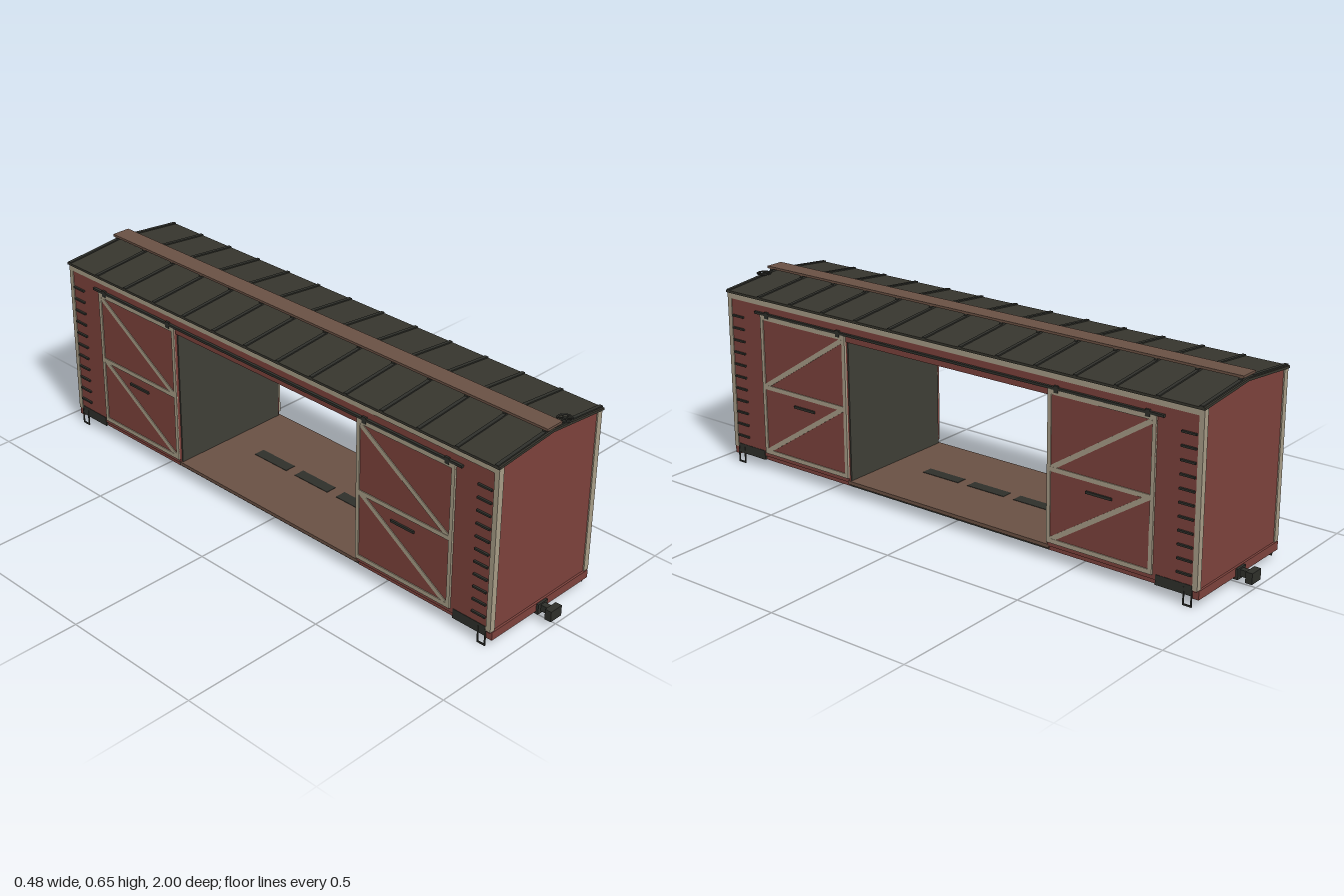
import * as THREE from 'three';

const mat = (name, color, side = THREE.FrontSide) => {
  const m = new THREE.MeshStandardMaterial({ color, side });
  m.name = name;
  return m;
};

export function createModel() {
  const red = mat('barn red', 0x7d423c);
  const roofGrey = mat('roof charcoal', 0x37362e);
  const beige = mat('beige trim', 0xa89d87);
  const brown = mat('plank brown', 0x6a5144);
  const iron = mat('dark iron', 0x2f302b);
  const steel = mat('wheel steel', 0x4a4d50);
  const lining = mat('grey lining', 0x3f3f37);

  const model = new THREE.Group();
  model.name = 'boxcar';

  const add = (name, geometry, material, x = 0, y = 0, z = 0, parent = model) => {
    const mesh = new THREE.Mesh(geometry, material);
    mesh.name = name;
    mesh.position.set(x, y, z);
    parent.add(mesh);
    return mesh;
  };
  // Box given by its limits on each axis
  const box = (name, material, x0, x1, y0, y1, z0, z1, parent = model) =>
    add(name, new THREE.BoxGeometry(Math.abs(x1 - x0), Math.abs(y1 - y0), Math.abs(z1 - z0)), material,
      (x0 + x1) / 2, (y0 + y1) / 2, (z0 + z1) / 2, parent);
  // Round bar between two points
  const bar = (name, material, a, b, r, parent = model) => {
    const p = new THREE.Vector3(...a), q = new THREE.Vector3(...b);
    const d = q.clone().sub(p);
    const mesh = add(name, new THREE.CylinderGeometry(r, r, d.length(), 8), material, 0, 0, 0, parent);
    mesh.position.copy(p).add(q).multiplyScalar(0.5);
    mesh.quaternion.setFromUnitVectors(new THREE.Vector3(0, 1, 0), d.normalize());
    return mesh;
  };
  const extrude = (points, depth) => new THREE.ExtrudeGeometry(
    new THREE.Shape(points.map(p => new THREE.Vector2(...p))), { depth, bevelEnabled: false });

  // Closed body ends on both sides of the doorway
  const gable = [[-0.228, 0.05], [0.228, 0.05], [0.228, 0.608], [0, 0.63], [-0.228, 0.608]];
  add('frontBody', extrude(gable, 0.53), red, 0, 0, 0.405);
  add('backBody', extrude(gable, 0.53), red, 0, 0, -0.935);

  // Roof: bent sheet, ribs and raised walkway
  const chevron = (lift, t) => [[-0.235, 0.607 + lift], [0, 0.63 + lift], [0.235, 0.607 + lift],
    [0.235, 0.607 + lift + t], [0, 0.63 + lift + t], [-0.235, 0.607 + lift + t]];
  add('roof', extrude(chevron(0, 0.008), 1.884), roofGrey, 0, 0, -0.942);
  const rib = extrude(chevron(0.008, 0.004), 0.012);
  for (let i = 0; i < 14; i++) {
    const z = -0.93 + i * (1.86 / 13);
    add('roofRib', rib, iron, 0, 0, z - 0.006);
    box('walkwaySaddle', iron, -0.03, 0.03, 0.636, 0.647, z - 0.006, z + 0.006);
  }
  box('walkway', brown, -0.033, 0.033, 0.646, 0.654, -0.942, 0.945);

  // Floor and sills
  box('doorwayFloor', brown, -0.229, 0.229, 0.043, 0.055, -0.41, 0.41);
  for (const z of [-0.19, 0, 0.19]) box('floorPlate', iron, -0.02, 0.02, 0.0545, 0.0565, z - 0.075, z + 0.075);

  for (const e of [1, -1]) {
    box('bulkhead', lining, -0.222, 0.222, 0.055, 0.607, e * 0.4, e * 0.406);
    box('underFloor', red, -0.222, 0.222, 0.035, 0.052, e * 0.41, e * 0.932);
    box('endSill', red, -0.225, 0.225, 0.027, 0.055, e * 0.92, e * 0.942);

    // Coupler
    box('couplerPocket', iron, -0.022, 0.022, 0.018, 0.053, e * 0.93, e * 0.95);
    box('couplerShank', iron, -0.01, 0.01, 0.026, 0.048, e * 0.93, e * 0.99);
    box('couplerHead', iron, -0.025, 0.025, 0.018, 0.054, e * 0.977, e);

    // Truck with two wheelsets
    const truck = new THREE.Group();
    truck.name = 'truck';
    model.add(truck);
    box('bolster', iron, -0.13, 0.13, 0.018, 0.034, e * 0.692, e * 0.732, truck);
    for (const z of [0.64, 0.785]) {
      bar('axle', iron, [-0.13, 0.04, e * z], [0.13, 0.04, e * z], 0.008, truck);
      for (const s of [1, -1]) {
        const tread = new THREE.CylinderGeometry(0.033, 0.034, 0.036, 28).rotateZ(-Math.PI / 2 * s);
        const flange = new THREE.CylinderGeometry(0.037, 0.037, 0.008, 28).rotateZ(Math.PI / 2);
        add('wheel', tread, steel, s * 0.1, 0.04, e * z, truck);
        add('wheelFlange', flange, steel, s * 0.08, 0.04, e * z, truck);
        box('journalBox', iron, s * 0.118, s * 0.13, 0.012, 0.034, e * (z - 0.015), e * (z + 0.015), truck);
      }
    }
  }

  for (const s of [1, -1]) {
    const side = new THREE.Group();
    side.name = s > 0 ? 'leftSide' : 'rightSide';
    model.add(side);
    const plate = (name, m, x0, x1, y0, y1, z0, z1) => box(name, m, s * x0, s * x1, y0, y1, z0, z1, side);

    // Doorway header, fascia and door track
    plate('doorwayHeader', red, 0.22, 0.228, 0.535, 0.607, -0.41, 0.41);
    plate('fascia', beige, 0.226, 0.2305, 0.588, 0.607, -0.937, 0.937);
    plate('doorTrack', iron, 0.228, 0.237, 0.557, 0.565, -0.81, 0.81);

    for (const e of [1, -1]) {
      // Corner boards
      plate('cornerBoard', beige, 0.21, 0.2305, 0.055, 0.607, e * 0.922, e * 0.939);

      // Open sliding door with frame and braces
      const z0 = e > 0 ? 0.405 : -0.785, z1 = z0 + 0.38;
      plate('door', red, 0.226, 0.232, 0.065, 0.555, z0, z1);
      for (const y of [0.065, 0.298, 0.541]) plate('doorRail', beige, 0.228, 0.235, y, y + 0.015, z0, z1);
      for (const z of [z0, z1 - 0.013]) plate('doorStile', beige, 0.228, 0.235, 0.065, 0.555, z, z + 0.013);
      for (const y of [0.073, 0.306]) {
        const dz = z1 - z0 - 0.02, dy = 0.235;
        const brace = add('doorBrace', new THREE.BoxGeometry(0.006, 0.016, Math.hypot(dz, dy) - 0.01), beige,
          s * 0.2315, y + dy / 2, (z0 + z1) / 2, side);
        brace.rotation.x = Math.atan2(dy, dz);
      }
      plate('doorHandle', iron, 0.232, 0.238, 0.26, 0.268, e * 0.548, e * 0.64);
      for (const z of [z0 + 0.03, z1 - 0.03]) plate('doorHanger', iron, 0.23, 0.237, 0.548, 0.57, z - 0.008, z + 0.008);

      // Ladder rungs, step and lower strap
      for (let i = 0; i < 11; i++) {
        const y = 0.1 + i * 0.043;
        plate('ladderRung', iron, 0.227, 0.235, y - 0.003, y + 0.003, e * 0.867, e * 0.918);
      }
      for (const z of [0.893, 0.92]) plate('stepLeg', iron, 0.227, 0.231, 0.003, 0.058, e * (z - 0.002), e * (z + 0.002));
      plate('stepTread', iron, 0.227, 0.231, 0, 0.005, e * 0.891, e * 0.922);
      plate('lowerStrap', iron, 0.222, 0.2295, 0.035, 0.068, e * 0.795, e * 0.92);
    }

    // Centre sills and truss rods
    plate('centreSill', iron, 0.01, 0.026, 0.022, 0.046, -0.932, 0.932);
    for (const x of [0.075, 0.155]) {
      for (const e of [1, -1]) {
        bar('trussRod', iron, [s * x, 0.036, e * 0.58], [s * x, 0.02, e * 0.2], 0.003, side);
        plate('trussPost', iron, x - 0.004, x + 0.004, 0.017, 0.045, e * 0.194, e * 0.206);
      }
      bar('trussRod', iron, [s * x, 0.02, -0.2], [s * x, 0.02, 0.2], 0.003, side);
    }
    plate('sideSill', iron, 0.205, 0.22, 0.034, 0.044, -0.41, 0.41);
  }

  // Cross beams and brake equipment under the floor
  for (const z of [-0.4, -0.2, 0.2, 0.4]) box('crossBeam', iron, -0.2, 0.2, 0.032, 0.044, z - 0.012, z + 0.012);
  bar('airTank', iron, [0.095, 0.025, 0.0], [0.095, 0.025, 0.175], 0.02);
  box('brakeCylinder', iron, -0.115, -0.07, 0.008, 0.044, 0.0, 0.06);
  box('brakeValve', iron, -0.1, -0.06, 0.01, 0.044, -0.15, -0.055);
  bar('brakeRod', iron, [-0.05, 0.03, -0.62], [-0.05, 0.03, 0.62], 0.003);

  // Brake wheel above the front end
  const ring = new THREE.TorusGeometry(0.023, 0.0025, 8, 28).rotateX(Math.PI / 2);
  add('brakeWheelRim', ring, iron, 0.07, 0.64, 0.925);
  bar('brakeStaff', iron, [0.07, 0.6, 0.925], [0.07, 0.643, 0.925], 0.004);
  for (let i = 0; i < 3; i++) {
    const spoke = add('brakeWheelSpoke', new THREE.BoxGeometry(0.046, 0.003, 0.004), iron, 0.07, 0.64, 0.925);
    spoke.rotation.y = i * Math.PI / 3;
  }
  return model;
}
